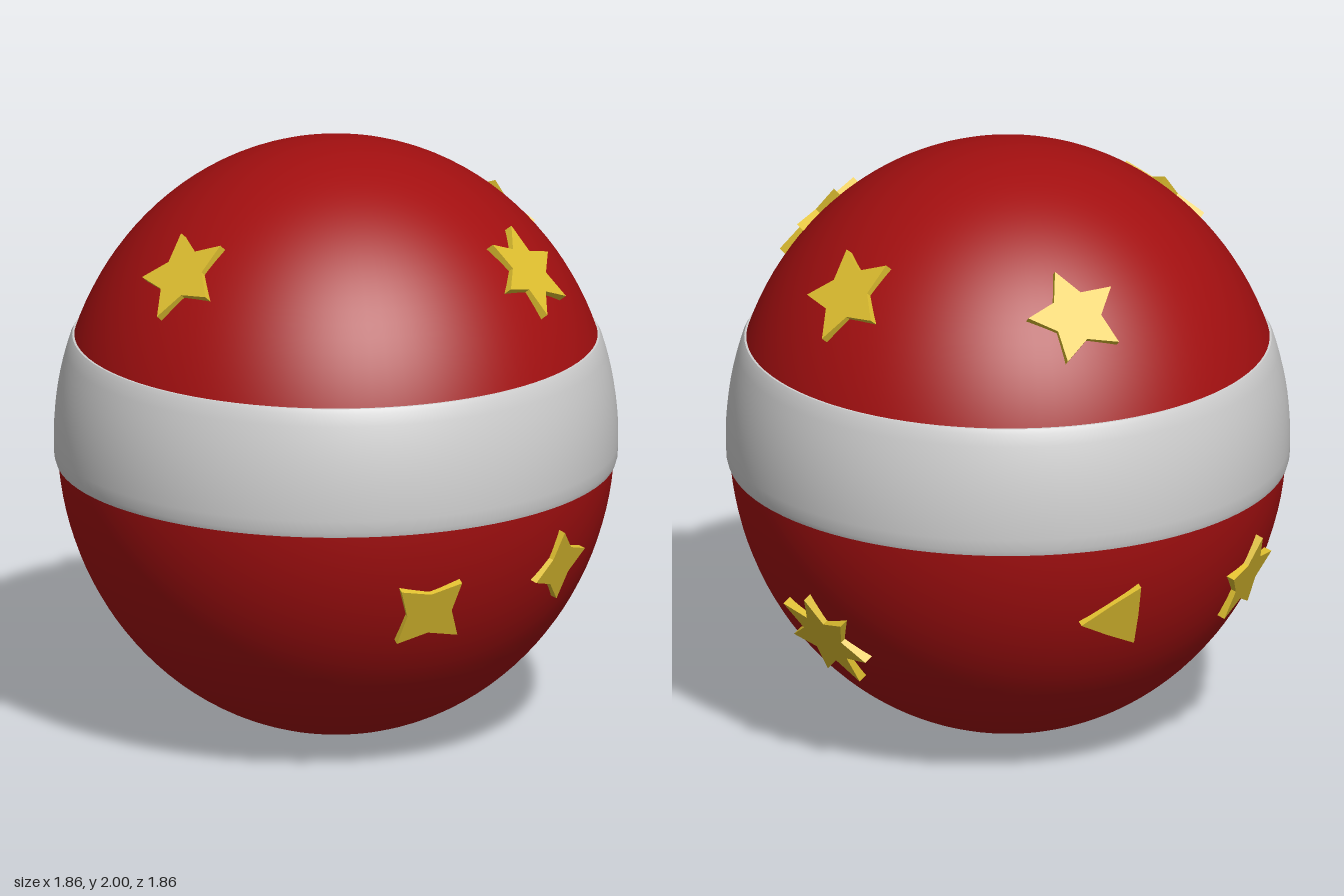
import * as THREE from 'three';
import { toCreasedNormals } from 'three/addons/utils/BufferGeometryUtils.js';

const RX = 0.92, RY = 0.998, CY = 1.002; // ball half-width, half-height, centre height

// Flat star with n tips; the first tip is turned clockwise from straight up
function starGeometry(n, radius, turn) {
  const pts = [];
  for (let i = 0; i < n * 2; i++) {
    const a = turn + (i * Math.PI) / n;
    const r = i % 2 ? radius * 0.52 : radius;
    pts.push(new THREE.Vector2(r * Math.sin(a), r * Math.cos(a)));
  }
  const geo = new THREE.ExtrudeGeometry(new THREE.Shape(pts), { depth: 0.036, bevelEnabled: false });
  return geo.translate(0, 0, -0.022);
}

export function createModel() {
  const model = new THREE.Group();
  model.name = 'ornamentBall';

  const red = new THREE.MeshStandardMaterial({ color: 0xa30f10 });
  red.name = 'red';
  const white = new THREE.MeshStandardMaterial({ color: 0xd0d0d0 });
  white.name = 'white';
  const yellow = new THREE.MeshStandardMaterial({ color: 0xe0c030 });
  yellow.name = 'yellow';

  // Slightly tall ball
  const ball = new THREE.Mesh(new THREE.SphereGeometry(1, 96, 64).scale(RX, RY, RX), red);
  ball.name = 'ball';
  ball.position.y = CY;
  model.add(ball);

  // Raised band following the ball, with softened rims
  const profile = [new THREE.Vector2(0.88, 0.918), new THREE.Vector2(0.924, 0.92)];
  for (let i = 0; i <= 10; i++) {
    const y = 0.937 + (i / 10) * 0.393;
    profile.push(new THREE.Vector2(0.931 * Math.sqrt(1 - (y - 1) ** 2), y));
  }
  profile.push(new THREE.Vector2(0.87, 1.346), new THREE.Vector2(0.83, 1.35));
  const band = new THREE.Mesh(toCreasedNormals(new THREE.LatheGeometry(profile, 96), 0.6), white);
  band.name = 'band';
  model.add(band);

  // Stars: [azimuth from front toward +x, height, tips, radius, turn], angles in degrees
  const stars = [
    [22, 1.65, 6, 0.17, 22],
    [90, 1.66, 5, 0.17, 180],
    [158, 1.66, 5, 0.165, 202],
    [270, 1.68, 5, 0.165, 180],
    [-21, 0.63, 4, 0.15, 42],
    [14.5, 0.7, 4, 0.135, -13],
    [90, 0.48, 7, 0.185, 0],
    [164, 0.655, 3, 0.135, 28],
    [205, 0.635, 5, 0.158, 0],
  ];
  for (const [az, y, tips, radius, turn] of stars) {
    const a = THREE.MathUtils.degToRad(az);
    const h = y - CY;
    const r = RX * Math.sqrt(1 - (h / RY) ** 2);
    const star = new THREE.Mesh(starGeometry(tips, radius, THREE.MathUtils.degToRad(turn)), yellow);
    star.name = 'star';
    star.position.set(r * Math.sin(a), y, r * Math.cos(a));
    // Face along the surface normal
    const normal = new THREE.Vector3(star.position.x / RX ** 2, h / RY ** 2, star.position.z / RX ** 2);
    star.lookAt(normal.add(star.position));
    model.add(star);
  }
  return model;
}
